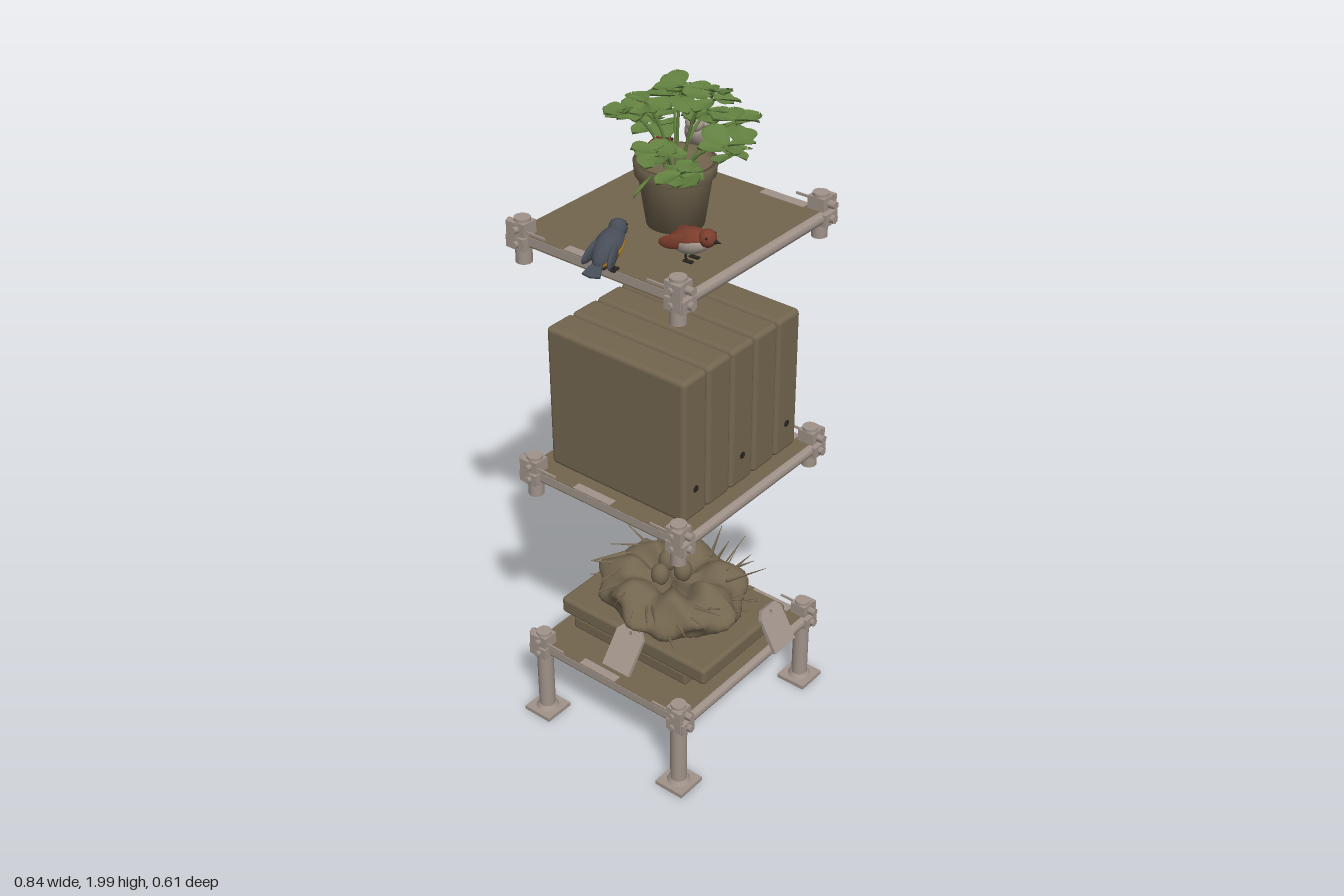
import * as THREE from 'three';
import { RoundedBoxGeometry } from 'three/addons/geometries/RoundedBoxGeometry.js';

const V = (x, y, z) => new THREE.Vector3(x, y, z);

function seeded(seed) {
  return () => (seed = (seed * 16807) % 2147483647) / 2147483647;
}

export function createModel() {
  const model = new THREE.Group();
  const mat = (name, color, side = THREE.FrontSide) => {
    const m = new THREE.MeshStandardMaterial({ color, side });
    m.name = name;
    return m;
  };
  const brown = mat('brown', 0x73664f);
  const taupe = mat('taupe metal', 0xa0938a);
  const green = mat('leaf green', 0x628040, THREE.DoubleSide);
  const red = mat('red', 0x7e1d20);
  const pale = mat('pale grey', 0xab9f95);
  const yellow = mat('yellow', 0xc48f22);
  const slate = mat('slate', 0x474d57);
  const rust = mat('rust', 0x7a3d2c);
  const dark = mat('dark', 0x29251f);

  const add = (parent, name, geo, material, x = 0, y = 0, z = 0) => {
    const m = new THREE.Mesh(geo, material);
    m.name = name;
    m.position.set(x, y, z);
    parent.add(m);
    return m;
  };
  const group = (name, parent = model) => {
    const g = new THREE.Group();
    g.name = name;
    parent.add(g);
    return g;
  };
  const box = (x, y, z) => new THREE.BoxGeometry(x, y, z);
  const cyl = (r1, r2, h, n = 16) => new THREE.CylinderGeometry(r1, r2, h, n);
  const rod = (parent, name, a, b, r, material, tip = r) => {
    const m = add(parent, name, cyl(tip, r, a.distanceTo(b), 8), material);
    m.position.copy(a).lerp(b, 0.5);
    m.quaternion.setFromUnitVectors(V(0, 1, 0), b.clone().sub(a).normalize());
    return m;
  };

  // Shelves: panel, rails, edge strips and corner clamps
  const XS = [-0.3, 0.284], ZS = [-0.25, 0.25];
  for (const y of [0.232, 0.845, 1.5625]) {
    const shelf = group('shelf');
    add(shelf, 'panel', box(0.593, 0.03, 0.536), brown, -0.0095, y + 0.002, -0.005);
    for (const z of [-0.268, 0.264])
      rod(shelf, 'rail', V(-0.32, y, z), V(0.305, y, z), 0.017, taupe);
    for (const x of [-0.302, 0.283])
      add(shelf, 'sideRail', box(0.012, 0.024, 0.5), taupe, x, y + 0.004, 0);
    add(shelf, 'wornEdge', box(0.03, 0.002, 0.14), taupe, 0.271, y + 0.0175, 0.145);
    add(shelf, 'wornEdge', box(0.026, 0.002, 0.13), taupe, -0.292, y + 0.0175, -0.045);
    for (const x of XS) for (const z of ZS) {
      const c = group('clamp', shelf);
      c.position.set(x, y, z);
      c.scale.set(Math.sign(x), 1, Math.sign(z));
      add(c, 'sleeve', cyl(0.022, 0.022, 0.125), taupe);
      add(c, 'upperCollar', box(0.046, 0.036, 0.05), taupe, 0, 0.036, 0);
      add(c, 'jaw', box(0.052, 0.034, 0.06), taupe, 0, -0.004, 0.006);
      add(c, 'ear', box(0.012, 0.07, 0.03), taupe, 0.024, 0.02, 0.014);
      for (const by of [0.036, -0.004]) {
        add(c, 'bolt', cyl(0.012, 0.012, 0.02, 6), taupe, 0, by, 0.038).rotation.x = Math.PI / 2;
        add(c, 'bolt', cyl(0.01, 0.01, 0.014, 6), taupe, 0.03, by, 0).rotation.z = Math.PI / 2;
      }
      add(c, 'pin', box(0.005, 0.006, 0.09), taupe, 0.012, 0.03, -0.04);
    }
  }

  // Legs with foot plates
  for (const x of XS) for (const z of ZS) {
    const leg = group('leg');
    add(leg, 'post', cyl(0.024, 0.024, 0.2), taupe, x, 0.11, z);
    add(leg, 'footPlate', box(0.094, 0.012, 0.094), taupe, x, 0.006, z);
    add(leg, 'footCollar', cyl(0.026, 0.034, 0.012), taupe, x, 0.018, z);
  }

  // Five binders on the middle shelf
  for (let i = 0; i < 5; i++) {
    const x = -0.2 + i * 0.1;
    add(model, 'binder', new RoundedBoxGeometry(0.097, 0.43, 0.464, 3, 0.014), brown, x, 1.075, -0.005);
    const hole = add(model, 'fingerHole', cyl(0.01, 0.01, 0.003), dark, x, 0.95, 0.2275);
    hole.rotation.x = Math.PI / 2;
    hole.visible = i % 2 === 0;
  }

  // Stacked slabs and leaning tags on the bottom shelf
  add(model, 'lowerSlab', new RoundedBoxGeometry(0.37, 0.045, 0.42, 3, 0.01), brown, -0.01, 0.272, -0.02);
  add(model, 'upperSlab', new RoundedBoxGeometry(0.385, 0.054, 0.53, 3, 0.012), brown, -0.008, 0.318, -0.005);
  const tagShape = new THREE.Shape([[-0.048, -0.065], [0.048, -0.065], [0.048, 0.045], [0.03, 0.067],
    [-0.03, 0.067], [-0.048, 0.045]].map(p => new THREE.Vector2(...p)));
  tagShape.holes.push(new THREE.Path().absarc(0, 0.048, 0.006, 0, Math.PI * 2));
  const tagGeo = new THREE.ExtrudeGeometry(tagShape, { depth: 0.012, bevelEnabled: false });
  add(model, 'frontTag', tagGeo, taupe, 0.118, 0.308, 0.268).rotation.x = -0.52;
  const sideTag = add(model, 'sideTag', tagGeo, taupe, -0.228, 0.308, 0);
  sideTag.rotation.set(0, -Math.PI / 2, 0);
  sideTag.rotateX(-0.66);

  // Lumpy nest with eggs and radiating twigs
  const rnd = seeded(77);
  const nest = group('nest');
  nest.position.set(-0.02, 0.34, 0.005);
  const profile = [[0.001, 0], [0.13, 0], [0.17, 0.025], [0.19, 0.06], [0.18, 0.09], [0.15, 0.118],
    [0.12, 0.13], [0.09, 0.12], [0.06, 0.1], [0.001, 0.09]].map(p => new THREE.Vector2(...p));
  const bowl = new THREE.LatheGeometry(new THREE.SplineCurve(profile).getPoints(30), 60);
  const bp = bowl.attributes.position;
  for (let i = 0; i < bp.count; i++) {
    const x = bp.getX(i), y = bp.getY(i), z = bp.getZ(i), a = Math.atan2(x, z);
    const k = 1 + 0.07 * Math.sin(5 * a + y * 40) + 0.06 * Math.sin(9 * a - y * 55);
    bp.setXYZ(i, x * k, Math.max(0, y * (1 + 0.13 * Math.sin(7 * a + 2))), z * k * 1.13);
  }
  bowl.computeVertexNormals();
  add(nest, 'bowl', bowl, brown);
  for (const [x, z] of [[0.02, 0.02], [-0.035, -0.02], [0.03, -0.045]]) {
    const egg = add(nest, 'egg', new THREE.SphereGeometry(0.03, 16, 12), brown, x, 0.125, z);
    egg.scale.set(0.9, 1.15, 0.9);
  }
  for (let i = 0; i < 44; i++) {
    const a = i * 2.4, y = 0.04 + 0.09 * rnd(), r = 0.2 + 0.07 * rnd();
    const twig = rod(nest, 'twig', V(Math.sin(a) * 0.14, y, Math.cos(a) * 0.16),
      V(Math.sin(a + 0.25) * r, y - 0.02 + 0.06 * rnd(), Math.cos(a + 0.25) * r), i % 3 ? 0.008 : 0.004, brown, 0.001);
    twig.scale.z = 0.5;
  }

  // Flower pot
  const plant = group('pottedPlant');
  plant.position.set(-0.01, 1.579, 0.008);
  const potPts = [[0, 0], [0.075, 0], [0.095, 0.135], [0.104, 0.137], [0.107, 0.172], [0.096, 0.172],
    [0.094, 0.15], [0, 0.15]].map(p => new THREE.Vector2(...p));
  const potGeo = new THREE.LatheGeometry(potPts, 32);
  add(plant, 'pot', potGeo, brown);

  // Leaf: a cupped blade along +z, its width following a rounded outline
  const leafGeo = new THREE.PlaneGeometry(1, 1, 4, 8);
  const lp = leafGeo.attributes.position;
  for (let i = 0; i < lp.count; i++) {
    const t = lp.getY(i) + 0.5, u = lp.getX(i) * 2;
    const w = 0.4 * Math.pow(Math.sin(Math.PI * Math.pow(t, 1.3)), 0.6) + 0.015;
    lp.setXYZ(i, u * w, 0.1 * u * u - 0.25 * t * t + 0.12 * t, t);
  }
  leafGeo.computeVertexNormals();
  const sprigs = [[-0.05, 0.32, -0.055], [0.085, 0.3, -0.07], [0.135, 0.25, 0.085], [0, 0.38, 0.115],
    [-0.13, 0.25, 0.05], [-0.09, 0.31, -0.085], [0.14, 0.25, -0.01], [0.02, 0.24, 0.15],
    [-0.09, 0.19, 0.09], [0.04, 0.24, -0.1], [0.01, 0.36, 0.01]];
  sprigs.forEach(([x, y, z], s) => {
    const path = new THREE.QuadraticBezierCurve3(V(x * 0.2, 0.145, z * 0.2), V(x * 0.4, y * 0.8 + 0.03, z * 0.4), V(x, y, z));
    add(plant, 'stem', new THREE.TubeGeometry(path, 10, 0.004, 6), green);
    for (let i = 0; i < 8; i++) {
      const leaf = add(plant, 'leaf', leafGeo, green, x, y - (i % 3) * 0.012, z);
      const size = 0.052 + 0.03 * rnd();
      leaf.rotation.order = 'YXZ';
      leaf.rotation.set(0.25 - 0.75 * rnd(), i * 0.785 + s + rnd() * 0.4, (rnd() - 0.5) * 0.6);
      leaf.scale.set(size * 1.05, size, size);
    }
  });
  const blade = add(plant, 'narrowLeaf', leafGeo, green, -0.16, 0.2, 0.06);
  blade.rotation.y = -1.3;
  blade.scale.set(0.012, 0.06, 0.115);

  // Birds: modelled facing +x, tilted up by pitch, then turned towards (dx, dz)
  const bodyPts = new THREE.SplineCurve([[0.001, -0.07], [0.016, -0.06], [0.032, -0.03], [0.038, 0.005],
    [0.032, 0.035], [0.02, 0.055], [0.001, 0.065]].map(p => new THREE.Vector2(...p))).getPoints(20);
  function bird(name, [x, y, z], [dx, dz], pitch, o) {
    const b = group(name);
    b.position.set(x, 1.58, z);
    b.rotation.y = Math.atan2(-dz, dx);
    const t = group('torso', b);
    t.position.y = y - 1.58;
    t.rotation.z = pitch;
    t.scale.setScalar(o.size);
    add(t, 'belly', new THREE.LatheGeometry(bodyPts, 20).rotateZ(-Math.PI / 2), o.belly);
    const back = new THREE.LatheGeometry(bodyPts, 14, Math.PI * 1.06, Math.PI * 0.88).rotateZ(-Math.PI / 2);
    add(t, 'back', back, o.back).scale.setScalar(1.03);
    const hx = 0.062, hy = 0.008;
    add(t, 'head', new THREE.SphereGeometry(0.026, 16, 12), o.head, hx, hy);
    const beak = add(t, 'beak', new THREE.ConeGeometry(0.009, 0.026, 8), o.beak, hx + 0.03, hy - 0.012);
    beak.rotation.z = -Math.PI / 2 - pitch;
    if (o.crest) {
      const crest = add(t, 'crest', new THREE.ConeGeometry(0.016, 0.04, 8), o.head, hx + 0.002, hy + 0.028);
      crest.rotation.z = 0.5;
    }
    for (const s of [-1, 1]) {
      const wing = add(t, 'wing', new THREE.SphereGeometry(1, 16, 10), o.wing, -0.022, 0.008, s * 0.03);
      wing.scale.set(0.055, 0.022, 0.009);
      wing.rotation.y = s * 0.18;
      add(t, 'eye', new THREE.SphereGeometry(0.004, 8, 6), dark, hx + 0.012, hy + 0.007, s * 0.0215);
      rod(b, 'legBone', V(0, 0, s * 0.014), V(-0.004, y - 1.6, s * 0.014), 0.003, dark);
      add(b, 'foot', box(0.026, 0.004, 0.012), dark, 0.005, 0.002, s * 0.014);
    }
    // Tail feathers
    for (const s of o.fork ? [-1, 1] : [0]) {
      const w = o.tailWidth, L = o.tailLength;
      const feather = new THREE.Shape([[-0.045, -0.009], [-0.045, 0.009], [-L, w], [-L - 0.006, 0], [-L, -w]]
        .map(p => new THREE.Vector2(...p)));
      const tail = add(t, 'tail', new THREE.ExtrudeGeometry(feather, { depth: 0.006, bevelEnabled: false })
        .rotateX(Math.PI / 2), o.tail, 0, 0.004, s * 0.007);
      tail.rotation.y = s * 0.06;
    }
  }
  bird('yellowBird', [-0.315, 1.642, 0.047], [1, -0.2], 0.42,
    { size: 0.92, belly: yellow, back: slate, head: slate, wing: slate, tail: slate, beak: dark, tailWidth: 0.027, tailLength: 0.102 });
  bird('rustBird', [-0.15, 1.632, 0.165], [0.08, 1], 0.25,
    { size: 0.9, belly: pale, back: rust, head: rust, wing: rust, tail: rust, beak: dark, tailWidth: 0.014, tailLength: 0.09 });
  bird('redBird', [0.168, 1.65, -0.19], [-0.6, 0.8], 0.66,
    { size: 1, belly: red, back: red, head: red, wing: red, tail: brown, beak: red, crest: true, tailWidth: 0.033, tailLength: 0.125 });
  bird('paleBird', [0.325, 1.655, -0.18], [-1, 0.4], 0.72,
    { size: 1.02, belly: pale, back: pale, head: pale, wing: pale, tail: slate, beak: dark, fork: true, tailWidth: 0.006, tailLength: 0.14 });

  return model;
}
